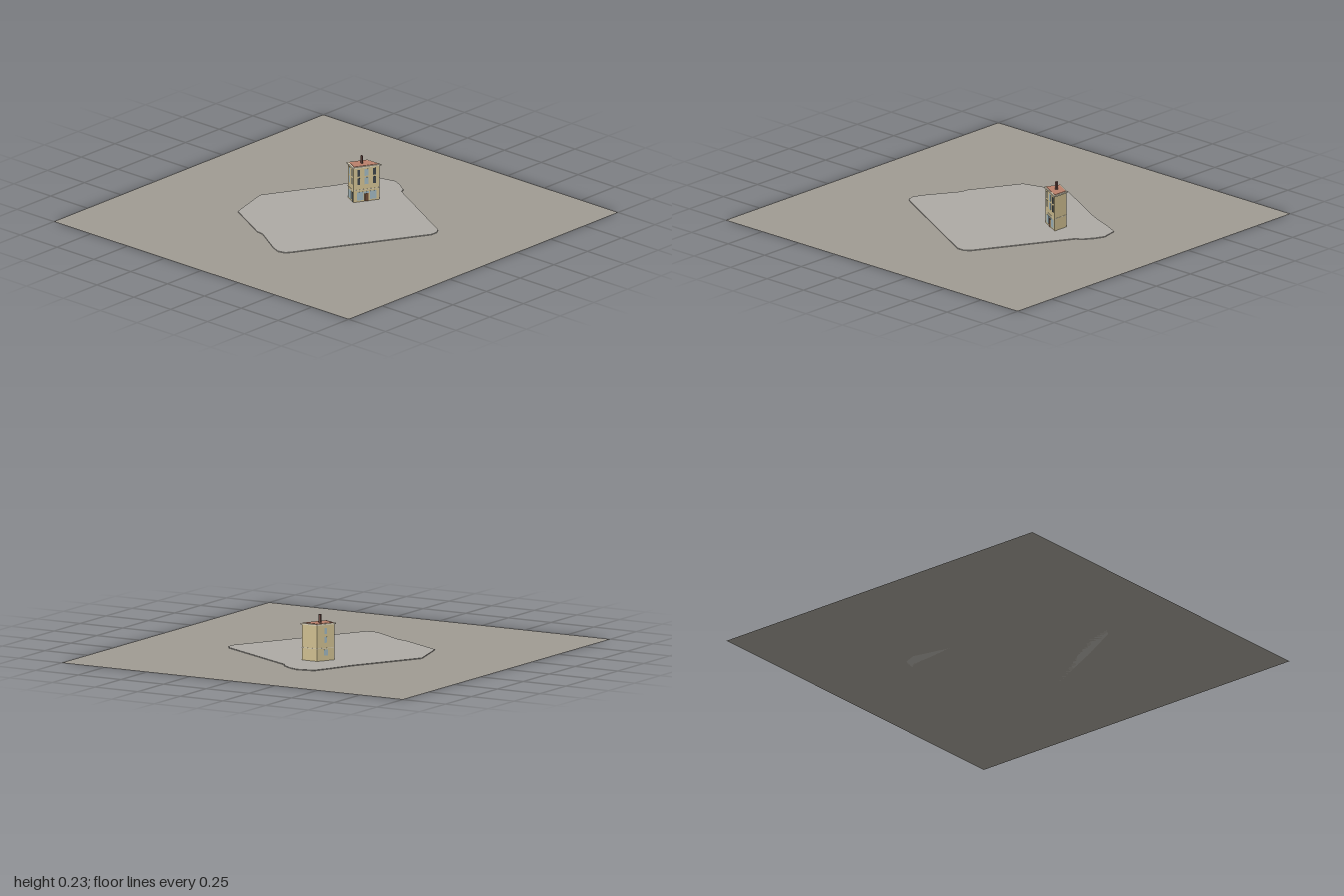
import * as THREE from 'three';

const mat = (color) => new THREE.MeshStandardMaterial({ color });
const wallMat = mat(0xcdbd8f), glassMat = mat(0x9db4bd), darkMat = mat(0x3c4348), trimMat = mat(0xd8cfb8);
const roofMat = mat(0xb9806a), doorMat = mat(0x6b4a35), chimneyMat = mat(0x6a4a44);

// Upright prism over a plan outline of [x, z] points
function prism(name, points, y, height, material) {
  const shape = new THREE.Shape(points.map(([x, z]) => new THREE.Vector2(x, -z)));
  const geometry = new THREE.ExtrudeGeometry(shape, { depth: height, bevelEnabled: false });
  geometry.rotateX(-Math.PI / 2);
  const mesh = new THREE.Mesh(geometry, material);
  mesh.name = name;
  mesh.position.y = y;
  return mesh;
}

// Wall frame: local x runs from p to q, local z points out of the building
function facade(name, p, q) {
  const group = new THREE.Group();
  const dx = q[0] - p[0], dz = q[1] - p[1];
  group.name = name;
  group.position.set(p[0], 0, p[1]);
  group.rotation.y = Math.atan2(-dz, dx);
  const length = Math.hypot(dx, dz);
  // u is the fraction along the wall, y the lower edge
  const panel = (part, u, y, w, h, material, depth = 0.002) => {
    const mesh = new THREE.Mesh(new THREE.BoxGeometry(w, h, depth), material);
    mesh.name = part;
    mesh.position.set(u * length, y + h / 2, 0);
    group.add(mesh);
  };
  return { group, panel, length };
}

export function createModel() {
  const model = new THREE.Group();
  model.name = 'cornerHouseOnBlock';

  // Flat square ground
  const groundMat = mat(0x9f9b92);
  groundMat.side = THREE.DoubleSide;
  const ground = new THREE.Mesh(new THREE.PlaneGeometry(2, 2).rotateX(-Math.PI / 2), groundMat);
  ground.name = 'ground';
  model.add(ground);

  // Raised pavement of the city block
  const block = [
    [-0.2, -0.54], [-0.11, -0.56], [-0.06, -0.54], [0, -0.5], [0.01, -0.475], [0.5, -0.21], [0.52, -0.18],
    [0.52, -0.14], [0.17, 0.51], [0.15, 0.54], [0.11, 0.55], [0.06, 0.53], [-0.11, 0.425], [-0.15, 0.42],
    [-0.41, 0.28], [-0.48, 0.04], [-0.46, 0], [-0.29, -0.32], [-0.24, -0.45],
  ];
  model.add(prism('pavement', block, 0, 0.004, mat(0xadaaa4)));

  // House body on a skewed plan, with cornice and roof
  const house = new THREE.Group();
  house.name = 'house';
  const a = [-0.133, -0.233], b = [-0.062, -0.198], c = [0.002, -0.322], d = [-0.085, -0.322];
  const plan = [a, b, c, d];
  const scaled = (k) => plan.map(([x, z]) => [-0.07 + (x + 0.07) * k, -0.268 + (z + 0.268) * k]);
  house.add(
    prism('walls', plan, 0, 0.186, wallMat),
    prism('floorBand', scaled(1.03), 0.066, 0.003, trimMat),
    prism('cornice', scaled(1.09), 0.185, 0.007, trimMat),
    prism('roof', scaled(0.92), 0.191, 0.003, roofMat),
  );

  // Long street wall: door between shop windows, two rows of windows
  const street = facade('streetWall', b, c);
  street.panel('door', 0.5, 0.004, 0.02, 0.042, doorMat, 0.004);
  for (const u of [0.25, 0.75]) street.panel('shopWindow', u, 0.012, 0.034, 0.044, glassMat);
  street.panel('shopEntry', 0.5, 0.046, 0.026, 0.01, glassMat);
  for (const y of [0.095, 0.14]) {
    for (const u of [0.2, 0.8]) street.panel('window', u, y, 0.014, 0.036, darkMat);
    street.panel('middleWindow', 0.5, y, 0.022, 0.036, glassMat);
  }

  // Short street wall: one wide shop window, two columns of windows
  const side = facade('shortWall', a, b);
  side.panel('shopWindow', 0.4, 0.012, 0.034, 0.044, glassMat);
  side.panel('door', 0.82, 0.004, 0.013, 0.05, darkMat);
  for (const y of [0.095, 0.14])
    for (const u of [0.3, 0.75]) side.panel('window', u, y, 0.016, 0.036, u < 0.5 ? glassMat : darkMat);

  // Yard wall with a few openings; the back wall is blank
  const yard = facade('yardWall', d, a);
  yard.panel('yardWindow', 0.5, 0.03, 0.022, 0.03, glassMat);
  for (const y of [0.095, 0.14]) yard.panel('window', 0.5, y, 0.014, 0.03, glassMat);
  house.add(street.group, side.group, yard.group);

  // Chimney
  const chimney = new THREE.Mesh(new THREE.BoxGeometry(0.012, 0.045, 0.008), chimneyMat);
  chimney.name = 'chimney';
  chimney.position.set(-0.07, 0.2125, -0.268);
  house.add(chimney);
  model.add(house);
  return model;
}
